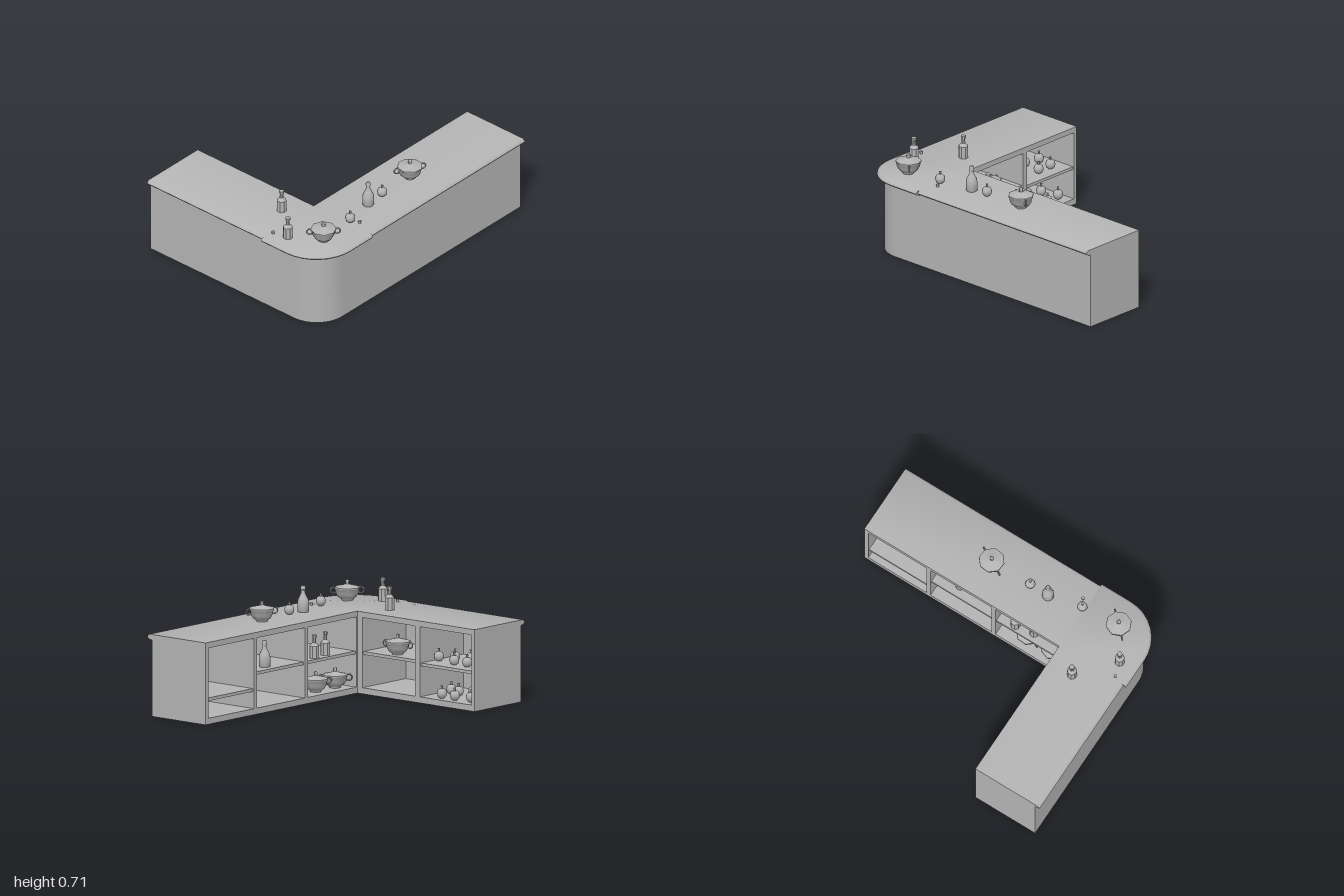
import * as THREE from 'three';
import { toCreasedNormals } from 'three/addons/utils/BufferGeometryUtils.js';

const grey = new THREE.MeshStandardMaterial({ color: 0xb4b4b4 });
grey.name = 'plain grey';

const FLOOR = 0.04, TOP = 0.535;

function part(parent, name, geo, x = 0, y = 0, z = 0) {
  const m = new THREE.Mesh(geo, grey);
  m.name = name;
  m.position.set(x, y, z);
  parent.add(m);
  return m;
}

// Box given by its minimum and maximum corners
function panel(parent, name, x0, x1, y0, y1, z0, z1) {
  return part(parent, name, new THREE.BoxGeometry(x1 - x0, y1 - y0, z1 - z0),
    (x0 + x1) / 2, (y0 + y1) / 2, (z0 + z1) / 2);
}

// Convex slab whose outer edge is rounded; outline points are [x, z, nx, nz]
function slab(outline) {
  const profile = [[0.05, 0.498], [0.02, 0.501], [0.004, 0.509], [0, 0.517], [0.005, 0.527], [0.018, TOP]];
  const pos = [], idx = [], n = outline.length;
  for (const [d, y] of profile)
    for (const [x, z, nx = 0, nz = 0] of outline) pos.push(x - nx * d, y, z - nz * d);
  for (let r = 0; r < profile.length - 1; r++)
    for (let i = 0; i < n; i++) {
      const a = r * n + i, b = r * n + (i + 1) % n;
      idx.push(a, a + n, b, b, a + n, b + n);
    }
  const t = (profile.length - 1) * n;
  for (let i = 1; i < n - 1; i++) idx.push(0, i, i + 1, t, t + i + 1, t + i);
  const geo = new THREE.BufferGeometry();
  geo.setAttribute('position', new THREE.Float32BufferAttribute(pos, 3));
  geo.setIndex(idx);
  return toCreasedNormals(geo, 0.7);
}

// Plan shape extruded upwards from y0 to y1
function plan(shape, y0, y1) {
  const geo = new THREE.ExtrudeGeometry(shape, { depth: y1 - y0, bevelEnabled: false, curveSegments: 12 });
  geo.rotateX(Math.PI / 2).translate(0, y1, 0);
  return toCreasedNormals(geo, 0.5);
}

function lathe(points, sides) {
  return new THREE.LatheGeometry(points.map(p => new THREE.Vector2(...p)), sides);
}

const facetedBottleGeo = toCreasedNormals(lathe([[0, 0], [0.032, 0], [0.032, 0.08], [0.013, 0.1],
  [0.012, 0.132], [0.017, 0.134], [0.017, 0.15], [0, 0.154]], 8), 0.3);
const roundBottleGeo = toCreasedNormals(lathe([[0, 0], [0.034, 0], [0.038, 0.008], [0.038, 0.06], [0.034, 0.082],
  [0.022, 0.105], [0.014, 0.125], [0.012, 0.145], [0.016, 0.147], [0.016, 0.162], [0.01, 0.171], [0, 0.172]], 12), 0.8);
const tureenGeo = toCreasedNormals(lathe([[0, 0], [0.038, 0], [0.04, 0.008], [0.06, 0.022], [0.074, 0.045],
  [0.079, 0.072], [0.085, 0.078], [0.084, 0.086], [0.06, 0.092], [0.025, 0.1], [0.012, 0.106],
  [0.013, 0.126], [0.008, 0.131], [0, 0.131]], 8), 0.9);
const handleGeo = new THREE.TorusGeometry(0.02, 0.005, 6, 12);
const fruitGeo = lathe([[0, 0], [0.015, 0.002], [0.028, 0.014], [0.033, 0.033], [0.028, 0.052],
  [0.014, 0.064], [0, 0.062]], 12);
const stemGeo = new THREE.CylinderGeometry(0.008, 0.006, 0.024, 6);

function item(parent, name, x, y, z) {
  const g = new THREE.Group();
  g.name = name;
  g.position.set(x, y, z);
  parent.add(g);
  return g;
}

function tureen(parent, x, y, z, turn) {
  const g = item(parent, 'tureen', x, y, z);
  part(g, 'bowlAndLid', tureenGeo);
  for (const s of [-1, 1]) part(g, 'handle', handleGeo, s * 0.088, 0.065, 0);
  g.rotation.y = turn;
}

function fruit(parent, x, y, z) {
  const g = item(parent, 'fruit', x, y, z);
  part(g, 'flesh', fruitGeo);
  part(g, 'stem', stemGeo, 0, 0.071, 0);
}

export function createModel() {
  const root = new THREE.Group();
  root.name = 'cornerCounter';

  // Curved outer wall
  const wall = new THREE.Shape();
  wall.moveTo(0.695, -1).lineTo(0.695, 0.72);
  wall.absarc(0.475, 0.72, 0.22, 0, Math.PI / 2, false);
  wall.lineTo(-0.755, 0.94).lineTo(-0.755, 0.91).lineTo(0.475, 0.91);
  wall.absarc(0.475, 0.72, 0.19, Math.PI / 2, 0, true);
  wall.lineTo(0.665, -1);
  part(root, 'outerWall', plan(wall, 0, 0.502));

  // L-shaped base board
  const base = new THREE.Shape();
  base.moveTo(0.24, -1).lineTo(0.695, -1).lineTo(0.695, 0.72);
  base.absarc(0.475, 0.72, 0.22, 0, Math.PI / 2, false);
  base.lineTo(-0.755, 0.94).lineTo(-0.755, 0.485).lineTo(0.24, 0.485);
  part(root, 'baseBoard', plan(base, 0, FLOOR));

  // Upright dividers and shelves of the side wing
  for (const z of [-1, -0.525, -0.03, 0.475])
    panel(root, 'sideDivider', 0.24, 0.68, 0, 0.502, z, z + 0.03);
  [[-0.97, -0.525, 0.17], [-0.495, -0.03, 0.275], [0, 0.475, 0.275]].forEach(([z0, z1, y]) =>
    panel(root, 'sideShelf', 0.25, 0.67, y - 0.02, y, z0, z1));

  // Upright dividers and shelves of the front wing
  for (const [x0, x1] of [[-0.755, -0.73], [-0.29, -0.25], [0.2, 0.24]])
    panel(root, 'frontDivider', x0, x1, 0, 0.502, 0.485, 0.92);
  for (const [x0, x1, y] of [[-0.73, -0.29, 0.26], [-0.25, 0.2, 0.275]])
    panel(root, 'frontShelf', x0, x1, y - 0.02, y, 0.495, 0.92);

  // Countertops with rounded outer edges
  part(root, 'sideCountertop', slab([[0.24, -1], [0.735, -1, 1, 0], [0.735, 0.485, 1, 0], [0.24, 0.485]]));
  part(root, 'frontCountertop', slab([[-0.755, 0.485], [0.24, 0.485], [0.24, 0.975, 0, 1], [-0.755, 0.975, 0, 1]]));
  const corner = [[0.24, 0.485], [0.75, 0.485, 1, 0]];
  for (let i = 0; i <= 8; i++) {
    const a = i / 8 * Math.PI / 2, c = Math.cos(a), s = Math.sin(a);
    corner.push([0.46 + 0.29 * c, 0.705 + 0.29 * s, c, s]);
  }
  corner.push([0.24, 0.995, 0, 1]);
  part(root, 'cornerCountertop', slab(corner));

  // Bottles on the counter and on the shelves
  for (const [x, y, z] of [[0.12, TOP, 0.66], [0.36, TOP, 0.87], [0.29, 0.275, 0.12], [0.31, 0.275, 0.25]])
    part(root, 'facetedBottle', facetedBottleGeo, x, y, z).rotation.y = Math.PI / 8;
  for (const [x, y, z] of [[0.49, TOP, 0.24], [0.33, 0.275, -0.32]])
    part(root, 'roundBottle', roundBottleGeo, x, y, z);

  // Lidded bowls
  tureen(root, 0.475, TOP, -0.18, 1.08);
  tureen(root, 0.55, TOP, 0.74, 0.8);
  tureen(root, -0.025, 0.275, 0.575, 0.2);
  tureen(root, 0.34, FLOOR, 0.38, 0.8);
  tureen(root, 0.34, FLOOR, 0.19, 1.1);

  // Fruit on the counter, the shelf and the floor of the end bay
  for (const [x, z] of [[0.49, 0.105], [0.54, 0.47]]) fruit(root, x, TOP, z);
  for (const [x, z] of [[-0.335, 0.62], [-0.42, 0.68], [-0.5, 0.58], [-0.52, 0.72], [-0.61, 0.58], [-0.63, 0.7]])
    fruit(root, x, 0.26, z);
  for (const [x, z] of [[-0.43, 0.54], [-0.54, 0.54], [-0.66, 0.56], [-0.38, 0.69], [-0.46, 0.67], [-0.54, 0.72], [-0.63, 0.68]])
    fruit(root, x, FLOOR, z);

  // Loose corks
  for (const [x, z] of [[0.26, 0.9], [0.595, 0.44]])
    part(root, 'cork', new THREE.CylinderGeometry(0.01, 0.009, 0.018, 8), x, TOP + 0.009, z);
  return root;
}
